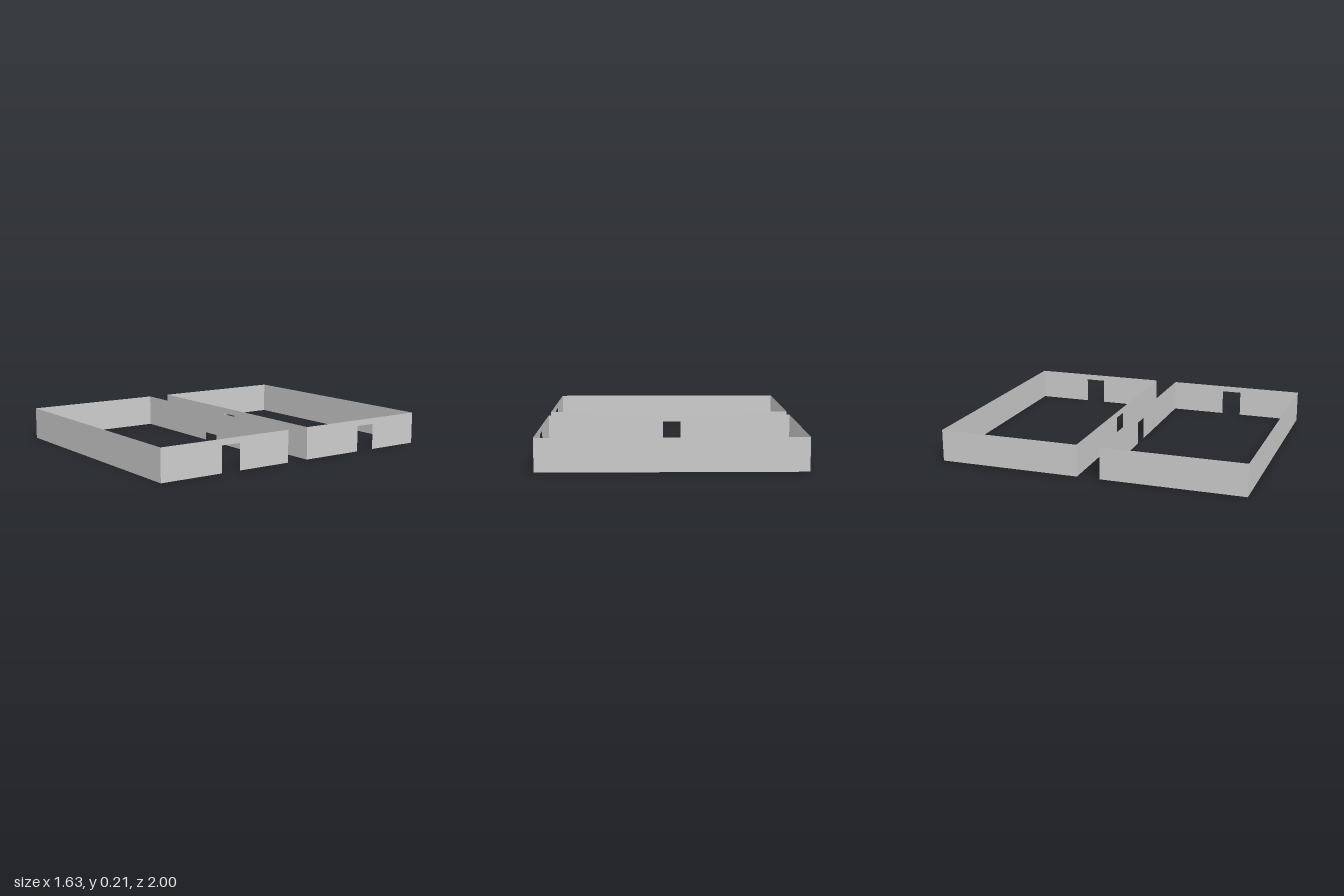
import * as THREE from 'three';

const HEIGHT = 0.207, DOOR_HEIGHT = 0.168;
const HALF_X = 0.8125, INNER_Z = 0.075, OUTER_Z = 0.997;

const material = new THREE.MeshStandardMaterial({ color: 0xcccccc, side: THREE.DoubleSide });

// Thin upright wall from a to b along its own axis, with an optional doorway [from, to]
function wall(name, a, b, door) {
  const shape = new THREE.Shape();
  shape.moveTo(a, 0);
  if (door) {
    shape.lineTo(door[0], 0);
    shape.lineTo(door[0], DOOR_HEIGHT);
    shape.lineTo(door[1], DOOR_HEIGHT);
    shape.lineTo(door[1], 0);
  }
  shape.lineTo(b, 0);
  shape.lineTo(b, HEIGHT);
  shape.lineTo(a, HEIGHT);
  shape.closePath();
  const mesh = new THREE.Mesh(new THREE.ShapeGeometry(shape), material);
  mesh.name = name;
  return mesh;
}

// Wall running along x at a given z
function wallAlongX(name, z, door) {
  const mesh = wall(name, -HALF_X, HALF_X, door);
  mesh.position.z = z;
  return mesh;
}

// Wall running along z at a given x (the shape's axis is turned onto +z)
function wallAlongZ(name, x, z0, z1, door) {
  const mesh = wall(name, z0, z1, door);
  mesh.rotation.y = -Math.PI / 2;
  mesh.position.x = x;
  return mesh;
}

// Four walls, with doorways in the inner long wall and the left end wall
function room(name, side, endDoor) {
  const group = new THREE.Group();
  group.name = name;
  const [z0, z1] = side > 0 ? [INNER_Z, OUTER_Z] : [-OUTER_Z, -INNER_Z];
  group.add(
    wallAlongX('outerWall', side * OUTER_Z),
    wallAlongX('innerWall', side * INNER_Z, [-0.08, 0.045]),
    wallAlongZ('leftWall', HALF_X, z0, z1, endDoor),
    wallAlongZ('rightWall', -HALF_X, z0, z1)
  );
  return group;
}

export function createModel() {
  const model = new THREE.Group();
  model.name = 'twoRoomWalls';
  model.add(
    room('frontRoom', 1, [0.442, 0.574]),
    room('backRoom', -1, [-0.634, -0.501])
  );
  // The whole layout sits very slightly off square
  model.rotation.y = -0.0035;
  return model;
}
